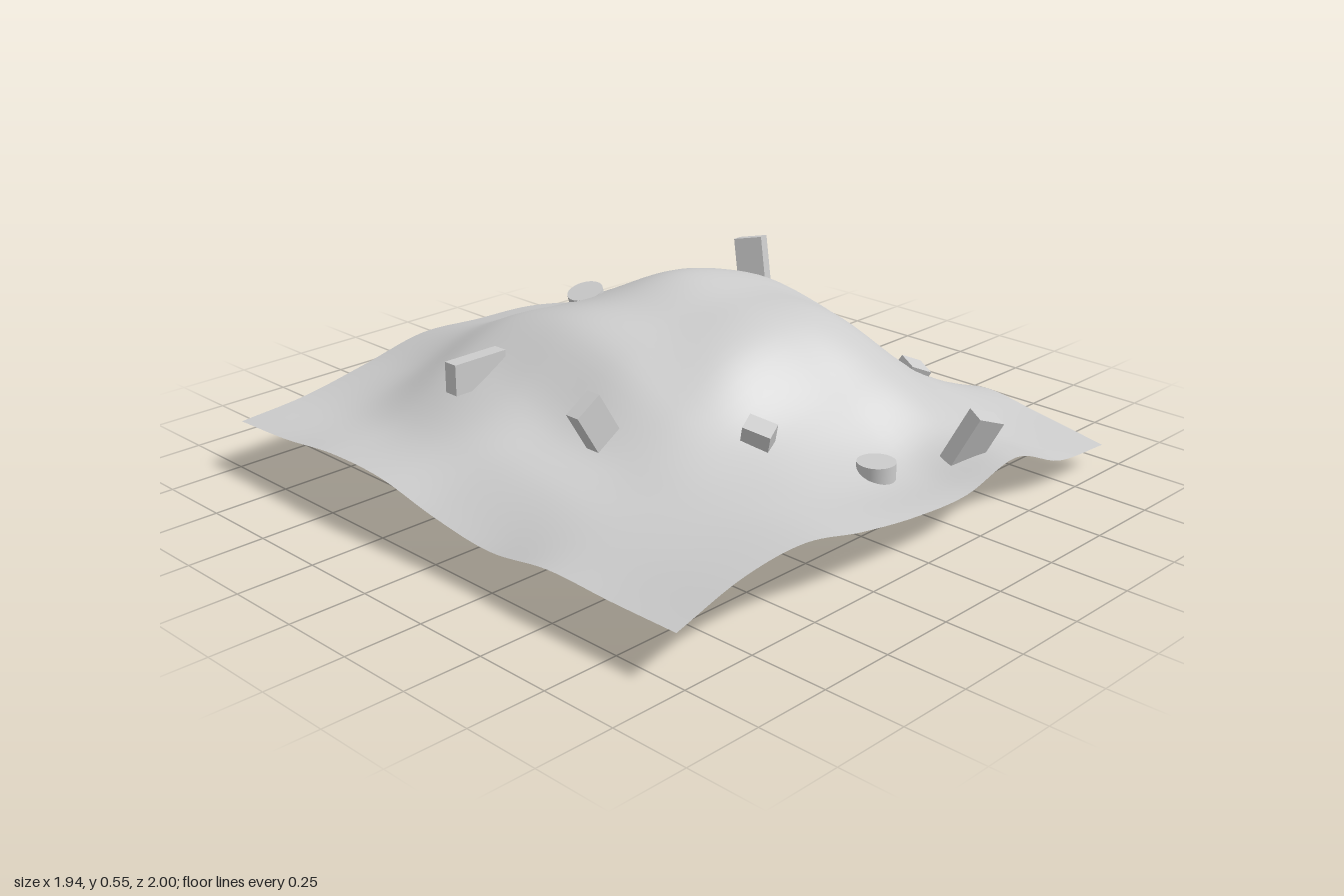
import * as THREE from 'three';

// Coarse terrain heights: rows run back to front, columns run from -x to +x
const HEIGHTS = [
  [.125, .12, .25, .19, .10, .07, .15, .12, .08],
  [.15, .20, .36, .41, .37, .29, .22, .14, .10],
  [.22, .295, .42, .51, .49, .46, .335, .205, .185],
  [.265, .33, .45, .555, .53, .485, .31, .155, .14],
  [.275, .345, .45, .515, .50, .45, .28, .17, .15],
  [.285, .355, .455, .49, .445, .345, .25, .21, .185],
  [.235, .27, .355, .34, .275, .24, .235, .23, .235],
  [.19, .195, .22, .24, .23, .22, .21, .21, .22],
  [.17, .18, .205, .20, .155, .13, .16, .155, .155],
];

// Catmull-Rom interpolation along evenly spaced values, t in 0..1
function spline(v, t) {
  const n = v.length - 1, f = t * n, i = Math.min(Math.floor(f), n - 1), u = f - i;
  const b = v[i], c = v[i + 1];
  const a = i > 0 ? v[i - 1] : 2 * b - c;
  const d = i + 2 <= n ? v[i + 2] : 2 * c - b;
  return b + 0.5 * u * (c - a + u * (2 * a - 5 * b + 4 * c - d + u * (3 * (b - c) + d - a)));
}

const ramp = (x, a, b) => Math.min(1, Math.max(0, (x - a) / (b - a)));

function createTerrain(material) {
  const geometry = new THREE.PlaneGeometry(1.94, 1.94, 56, 56).rotateX(-Math.PI / 2).translate(0, 0, 0.03);
  const p = geometry.attributes.position;
  for (let i = 0; i < p.count; i++) {
    const x = p.getX(i), z = p.getZ(i);
    const tx = ramp(x, -0.97, 0.97), tz = ramp(z, -0.94, 1);
    const y = spline(HEIGHTS.map((row) => spline(row, tx)), tz);
    // Back edge swells outward
    const bulge = 0.06 * ramp(x, -0.74, -0.46) * ramp(x, 0.12, -0.16);
    p.setXYZ(i, x, y, z - bulge * ramp(z, -0.7, -0.94));
  }
  geometry.computeVertexNormals();
  const mesh = new THREE.Mesh(geometry, material);
  mesh.name = 'hillyGround';
  return mesh;
}

export function createModel() {
  const group = new THREE.Group();
  const ground = new THREE.MeshStandardMaterial({ color: 0xcccccc, side: THREE.DoubleSide });
  const solid = new THREE.MeshStandardMaterial({ color: 0xcccccc });
  group.add(createTerrain(ground));

  // Adds a part that is turned about y first, then tilted
  const place = (name, geometry, position, rotation) => {
    const mesh = new THREE.Mesh(geometry, solid);
    mesh.position.set(...position);
    mesh.rotation.set(...rotation, 'XZY');
    mesh.name = name;
    group.add(mesh);
  };

  // Blocks half sunk in the ground: [size, position, rotation]
  const blocks = [
    [[.10, .18, .07], [-.79, .17, -.66], [-.4, .65, .4]],
    [[.10, .32, .07], [-.41, .35, -.795], [-.08, .45, .22]],
    [[.07, .26, .09], [.325, .145, -.69], [-.35, -.2, -.4]],
    [[.06, .20, .10], [.85, .22, -.385], [-.25, -.25, -.4]],
    [[.09, .20, .06], [.455, .245, .14], [.32, .3, -.4]],
    [[.05, .10, .20], [-.365, .375, .53], [0, 0, 0]],
    [[.05, .15, .10], [.17, .36, .535], [.55, 0, 0]],
  ];
  for (const [size, position, rotation] of blocks) {
    place('block', new THREE.BoxGeometry(...size), position, rotation);
  }

  // Short round posts
  const post = new THREE.CylinderGeometry(.06, .06, .12, 32);
  place('roundPost', post, [.71, .14, -.11], [0, 0, 0]);
  place('roundPost', post, [-.465, .425, -.04], [.3, 0, 0]);

  // Rest the lowest point on the floor
  const box = new THREE.Box3().setFromObject(group, true);
  for (const child of group.children) child.position.y -= box.min.y;
  return group;
}
